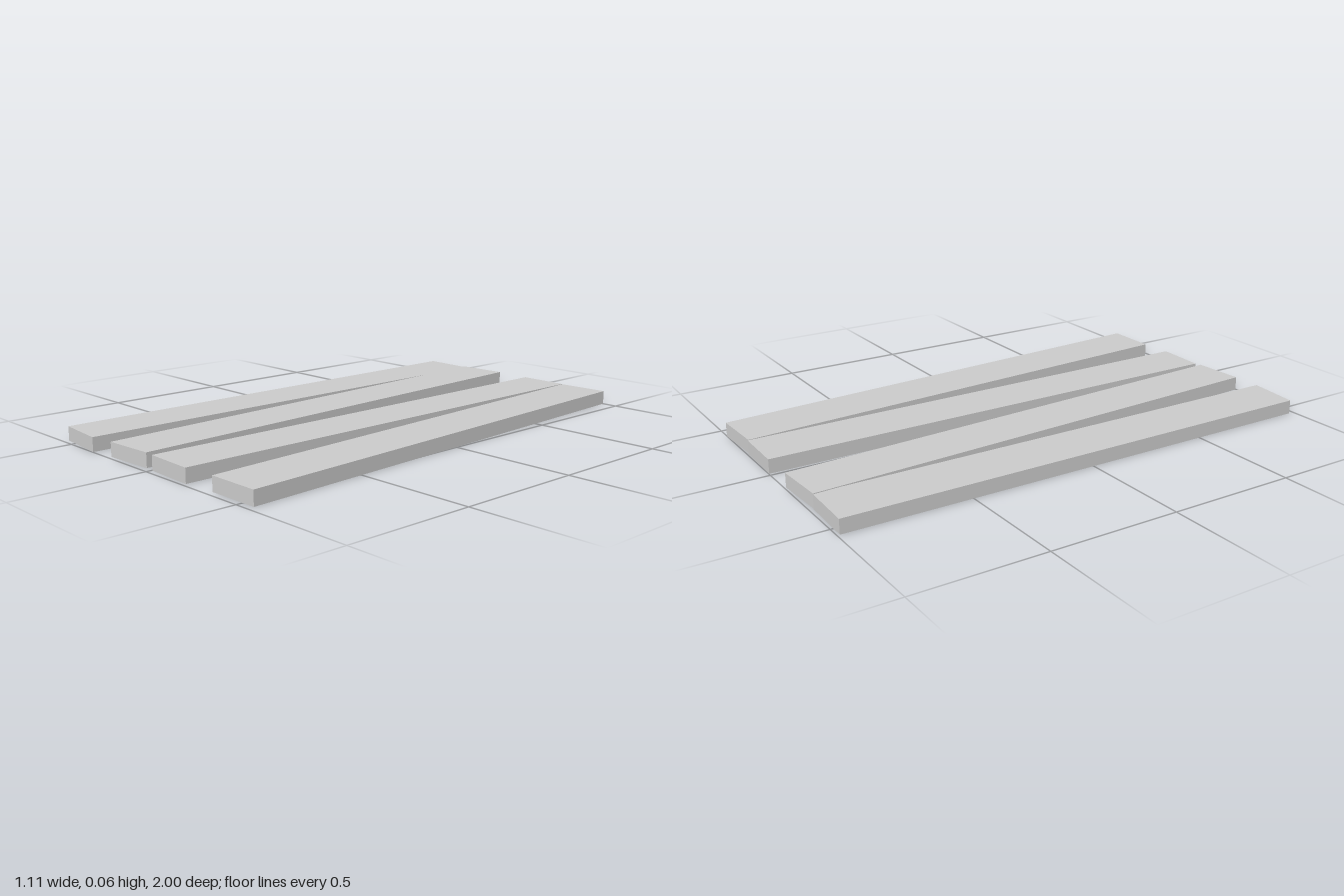
import * as THREE from 'three';

const THICKNESS = 0.055;

// Plank outlines seen from above as [x, z]: back left, back right, front right, front left
const PLANKS = [
  { name: 'outerRightPlank', lift: 0, corners: [[-0.55, -0.99], [-0.333, -0.984], [-0.348, 0.998], [-0.556, 0.978]] },
  { name: 'innerRightPlank', lift: 0.003, corners: [[-0.339, -0.984], [-0.133, -0.996], [-0.027, 0.979], [-0.235, 0.991]] },
  { name: 'innerLeftPlank', lift: 0, corners: [[0.015, -0.998], [0.222, -0.995], [0.212, 0.985], [0.004, 0.977]] },
  { name: 'outerLeftPlank', lift: 0, corners: [[0.226, -0.991], [0.437, -1], [0.555, 0.974], [0.343, 0.974]] },
];

// Flat board: the outline extruded upward
function makePlank({ name, lift, corners }, material) {
  const outline = new THREE.Shape(corners.map(([x, z]) => new THREE.Vector2(x, -z)));
  const geometry = new THREE.ExtrudeGeometry(outline, { depth: THICKNESS, bevelEnabled: false });
  geometry.rotateX(-Math.PI / 2);
  const plank = new THREE.Mesh(geometry, material);
  plank.name = name;
  plank.position.y = lift;
  return plank;
}

export function createModel() {
  const group = new THREE.Group();
  group.name = 'planks';
  const material = new THREE.MeshStandardMaterial({ color: 0xcccccc, flatShading: true });
  for (const spec of PLANKS) group.add(makePlank(spec, material));
  return group;
}
